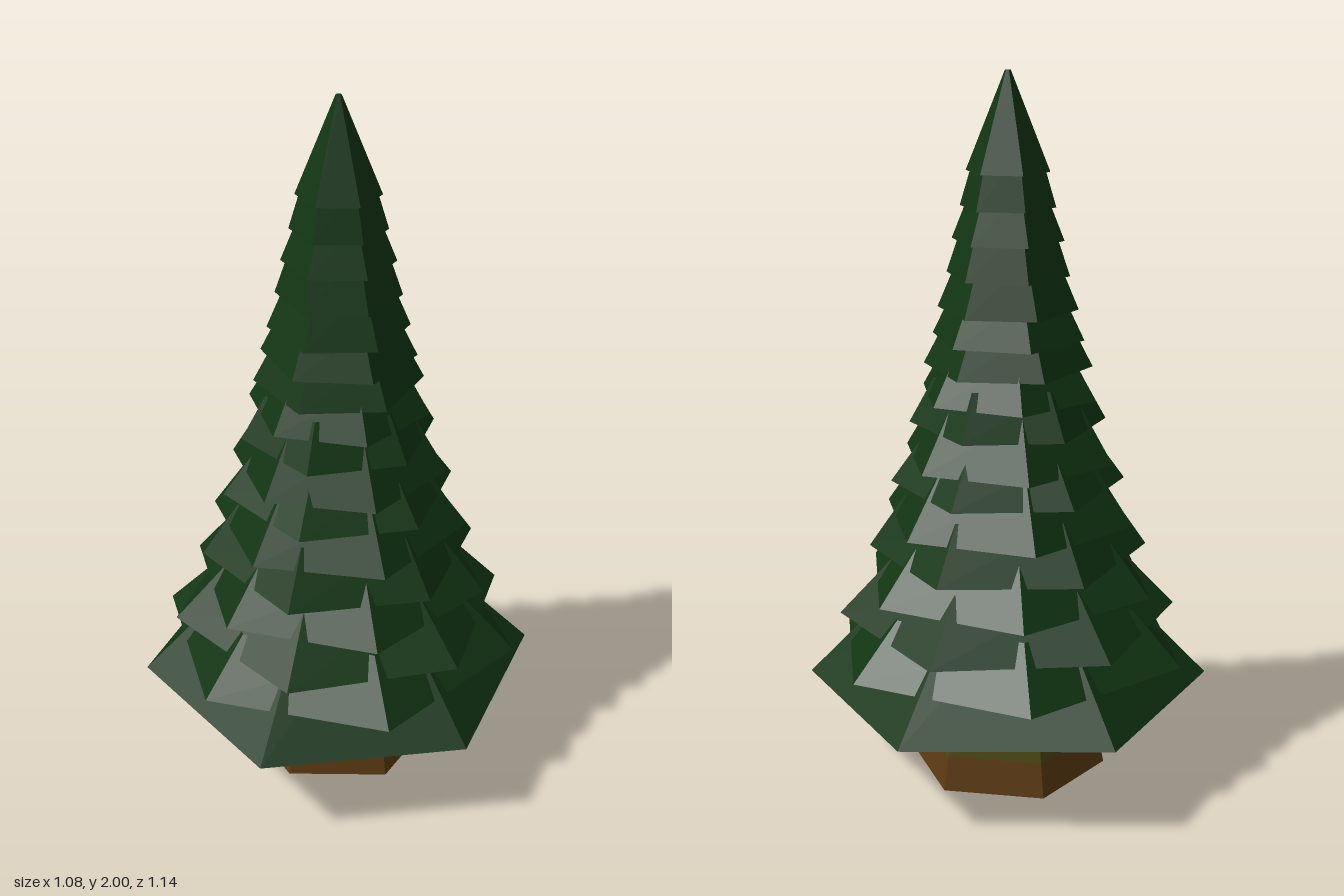
import * as THREE from 'three';

const SIDES = 6;

function material(name, color) {
  const m = new THREE.MeshStandardMaterial({ color, flatShading: true, side: THREE.DoubleSide });
  m.name = name;
  return m;
}

// Six-sided tapered ring standing between two heights
function frustum(name, mat, y0, r0, y1, r1, open = true) {
  const geo = new THREE.CylinderGeometry(r1, r0, y1 - y0, SIDES, 1, open);
  geo.translate(0, (y0 + y1) / 2, 0);
  const mesh = new THREE.Mesh(geo, mat);
  mesh.name = name;
  return mesh;
}

export function createModel() {
  const tree = new THREE.Group();
  tree.name = 'pineTree';
  const needles = material('needleGreen', 0x113513);
  const bark = material('barkBrown', 0x5c3a12);
  const moss = material('mossOlive', 0x4d4811);

  // Trunk: brown foot, mossy middle, green core under the branches
  const trunkRadius = (y) => 0.286 - 0.2 * y;
  const trunk = new THREE.Group();
  trunk.name = 'trunk';
  const section = (name, mat, y0, y1, open) =>
    trunk.add(frustum(name, mat, y0, trunkRadius(y0), y1, trunkRadius(y1), open));
  section('trunkFoot', bark, 0, 0.1, false);
  section('trunkMiddle', moss, 0.1, 0.29, true);
  section('trunkCore', needles, 0.29, 0.66, true);
  tree.add(trunk);

  // Branch tiers: [rim height, rim radius, twist in degrees]
  const tiers = [
    [0.27, 0.577, 9], [0.377, 0.527, -14], [0.472, 0.484, 14], [0.573, 0.433, -15],
    [0.668, 0.395, 10.5], [0.764, 0.366, -9], [0.865, 0.33, 12], [0.94, 0.307, -10],
    [1.04, 0.275, 13], [1.12, 0.257, -12], [1.2, 0.235, 4], [1.28, 0.215, -4],
    [1.36, 0.195, 3], [1.455, 0.172, -2], [1.55, 0.155, 0], [1.64, 0.132, 0],
    [1.735, 0.115, 0],
  ];
  const foliage = new THREE.Group();
  foliage.name = 'foliage';
  tiers.forEach(([y, r, twist], i) => {
    let top = 2, rTop = 0.008;
    if (i < tiers.length - 1) {
      // Each skirt slopes in under the rim above it and runs on inside
      const [nextY, nextR] = tiers[i + 1];
      const slope = (r - 0.9 * nextR) / (nextY - y);
      top = i === 0 ? 0.64 : y + (nextY - y) * 1.6;
      rTop = r - slope * (top - y);
    }
    const tier = frustum(`branchTier${i + 1}`, needles, y, r, top, rTop, i < tiers.length - 1);
    tier.rotation.y = THREE.MathUtils.degToRad(twist);
    foliage.add(tier);
  });
  tree.add(foliage);

  return tree;
}
